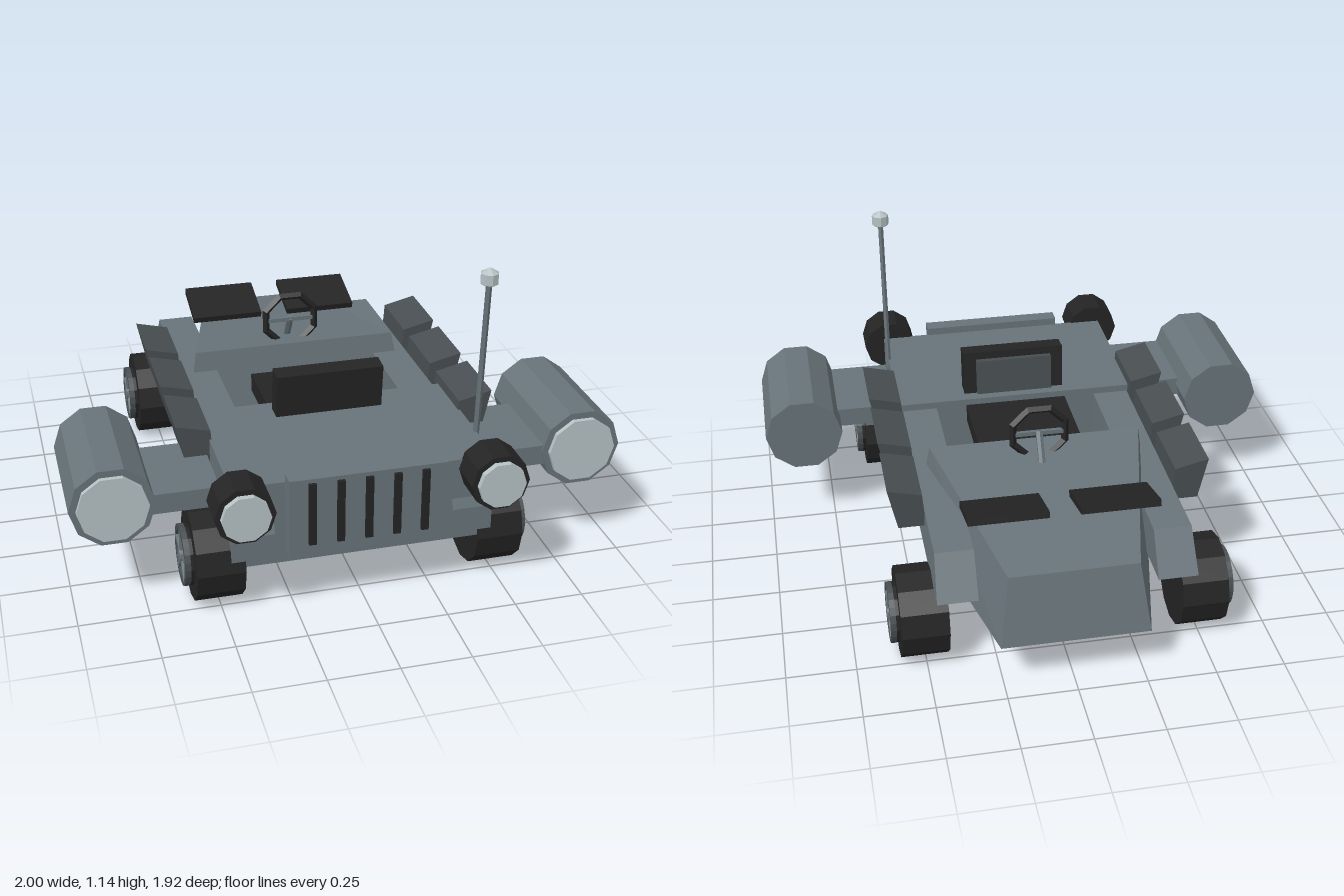
import * as THREE from 'three';
import { ConvexGeometry } from 'three/addons/geometries/ConvexGeometry.js';

const flat = (name, color) => {
  const m = new THREE.MeshStandardMaterial({ color, flatShading: true });
  m.name = name;
  return m;
};

export function createModel() {
  const body = flat('body grey', 0x68747a);
  const dark = flat('dark grey', 0x484e51);
  const black = flat('black', 0x242424);
  const light = flat('pale lens', 0xb6c2c4);
  const model = new THREE.Group();
  model.name = 'buggy';

  const add = (name, geo, mat, x = 0, y = 0, z = 0, parent = model) => {
    const m = new THREE.Mesh(geo, mat);
    m.name = name;
    m.position.set(x, y, z);
    parent.add(m);
    return m;
  };
  // box given by its minimum and maximum on each axis
  const block = (name, mat, x0, x1, y0, y1, z0, z1) =>
    add(name, new THREE.BoxGeometry(Math.abs(x1 - x0), y1 - y0, z1 - z0), mat,
      (x0 + x1) / 2, (y0 + y1) / 2, (z0 + z1) / 2);
  // convex solid from corner points
  const solid = (name, mat, pts) =>
    add(name, new ConvexGeometry(pts.map(p => new THREE.Vector3(...p))), mat);
  // drum along z, with a corner on the x axis
  const drum = (name, mat, r, x, y, z0, z1, sides = 10) => {
    const g = new THREE.CylinderGeometry(r, r, z1 - z0, sides);
    g.rotateY(Math.PI / 2).rotateX(Math.PI / 2);
    return add(name, g, mat, x, y, (z0 + z1) / 2);
  };
  // round bar between two points
  const rod = (name, mat, a, b, r, sides = 6) => {
    const p = new THREE.Vector3(...a), q = new THREE.Vector3(...b), d = q.clone().sub(p);
    const m = add(name, new THREE.CylinderGeometry(r, r, d.length(), sides), mat);
    m.position.copy(p).add(q).multiplyScalar(0.5);
    m.quaternion.setFromUnitVectors(new THREE.Vector3(0, 1, 0), d.normalize());
    return m;
  };

  // main body and wedge-shaped tail
  block('frontBody', body, -0.47, 0.47, 0.18, 0.495, 0.22, 0.805);
  const tail = [];
  for (const s of [-1, 1]) {
    tail.push([s * 0.46, 0.19, -0.13], [s * 0.40, 0.54, -0.185],
      [s * 0.23, 0.445, -0.905], [s * 0.265, 0.19, -0.96]);
  }
  solid('tailBody', body, tail);

  // grille
  block('grillePanel', body, -0.28, 0.28, 0.23, 0.525, 0.80, 0.86);
  for (let i = -2; i <= 2; i++) {
    block('grilleSlot', black, i * 0.1 - 0.013, i * 0.1 + 0.013, 0.275, 0.51, 0.855, 0.873);
  }

  // seat
  block('seatCushion', black, -0.2, 0.2, 0.40, 0.47, -0.09, 0.24);
  const back = block('seatBack', black, -0.2, 0.2, 0.47, 0.665, 0.275, 0.345);
  back.rotation.x = 0.1;
  const pad = block('seatPad', dark, -0.15, 0.15, 0.50, 0.64, 0.25, 0.275);
  pad.rotation.x = 0.1;

  // steering wheel and column
  const rim = new THREE.TorusGeometry(0.106, 0.015, 4, 8);
  rim.rotateZ(Math.PI / 8);
  add('steeringWheel', rim, black, 0, 0.61, -0.265);
  block('steeringSpoke', body, -0.1, 0.1, 0.602, 0.618, -0.272, -0.258);
  rod('steeringColumn', body, [0, 0.615, -0.265], [0, 0.50, -0.335], 0.014);

  // antenna
  rod('antennaMast', body, [0.47, 0.46, 0.615], [0.47, 1.10, 0.665], 0.011);
  add('antennaTip', new THREE.SphereGeometry(0.038, 8, 3), light, 0.47, 1.105, 0.665);

  // spoked wheel, outer face towards +x
  const makeWheel = () => {
    const w = new THREE.Group();
    w.name = 'wheel';
    const tyre = new THREE.CylinderGeometry(0.165, 0.165, 0.17, 12).rotateZ(Math.PI / 2);
    add('tyre', tyre, black, -0.085, 0, 0, w);
    const hub = new THREE.CylinderGeometry(0.11, 0.11, 0.02, 12).rotateZ(Math.PI / 2);
    add('hubDisc', hub, black, 0.01, 0, 0, w);
    const ring = new THREE.Shape().absarc(0, 0, 0.11, 0, Math.PI * 2);
    ring.holes.push(new THREE.Path().absarc(0, 0, 0.088, 0, Math.PI * 2, true));
    const rg = new THREE.ExtrudeGeometry(ring, { depth: 0.02, bevelEnabled: false, curveSegments: 12 });
    add('wheelRing', rg.rotateY(Math.PI / 2), dark, 0.012, 0, 0, w);
    for (let i = 0; i < 5; i++) {
      const spoke = new THREE.BoxGeometry(0.018, 0.095, 0.02).translate(0, 0.0475, 0);
      add('wheelSpoke', spoke, body, 0.024, 0, 0, w).rotation.x = i * Math.PI * 2 / 5;
    }
    const cap = new THREE.CylinderGeometry(0.026, 0.026, 0.026, 10).rotateZ(Math.PI / 2);
    add('wheelCap', cap, body, 0.024, 0, 0, w);
    return w;
  };

  for (const s of [-1, 1]) {
    // side rail with sloped ends
    const rail = [];
    for (const [x0, y, z] of [[0.465, 0.305, 0.82], [0.458, 0.475, 0.75],
      [0.458, 0.455, -0.735], [0.465, 0.305, -0.83]]) {
      rail.push([s * 0.32, y, z], [s * x0, y, z]);
    }
    solid('sideRail', body, rail);

    // three storage boxes flaring outwards
    for (const z of [0.315, -0.02, -0.35]) {
      const pts = [];
      for (const e of [-0.132, 0.132]) {
        pts.push([s * 0.455, 0.40, z + e], [s * 0.555, 0.40, z + e],
          [s * 0.59, 0.56, z + e], [s * 0.465, 0.53, z + e]);
      }
      solid('storageBox', dark, pts);
    }

    // large side lamp on its arm
    block('lampArm', body, s * 0.48, s * 0.73, 0.36, 0.435, 0.335, 0.68);
    drum('sideLamp', body, 0.15, s * 0.85, 0.41, 0.205, 0.685);
    drum('sideLampLens', light, 0.125, s * 0.85, 0.41, 0.68, 0.703);

    // headlight
    drum('headlight', black, 0.105, s * 0.445, 0.46, 0.80, 0.935);
    drum('headlightLens', light, 0.085, s * 0.445, 0.46, 0.93, 0.957);

    // tilted panel above the tail
    const panel = add('tailPanel', new THREE.BoxGeometry(0.285, 0.025, 0.205), black,
      s * 0.198, 0.545, -0.645);
    panel.rotation.x = 0.27;

    // wheels
    for (const z of [0.65, -0.657]) {
      const w = makeWheel();
      w.position.set(s * 0.59, 0.165, z);
      if (s < 0) w.rotation.y = Math.PI;
      model.add(w);
    }
  }
  return model;
}
